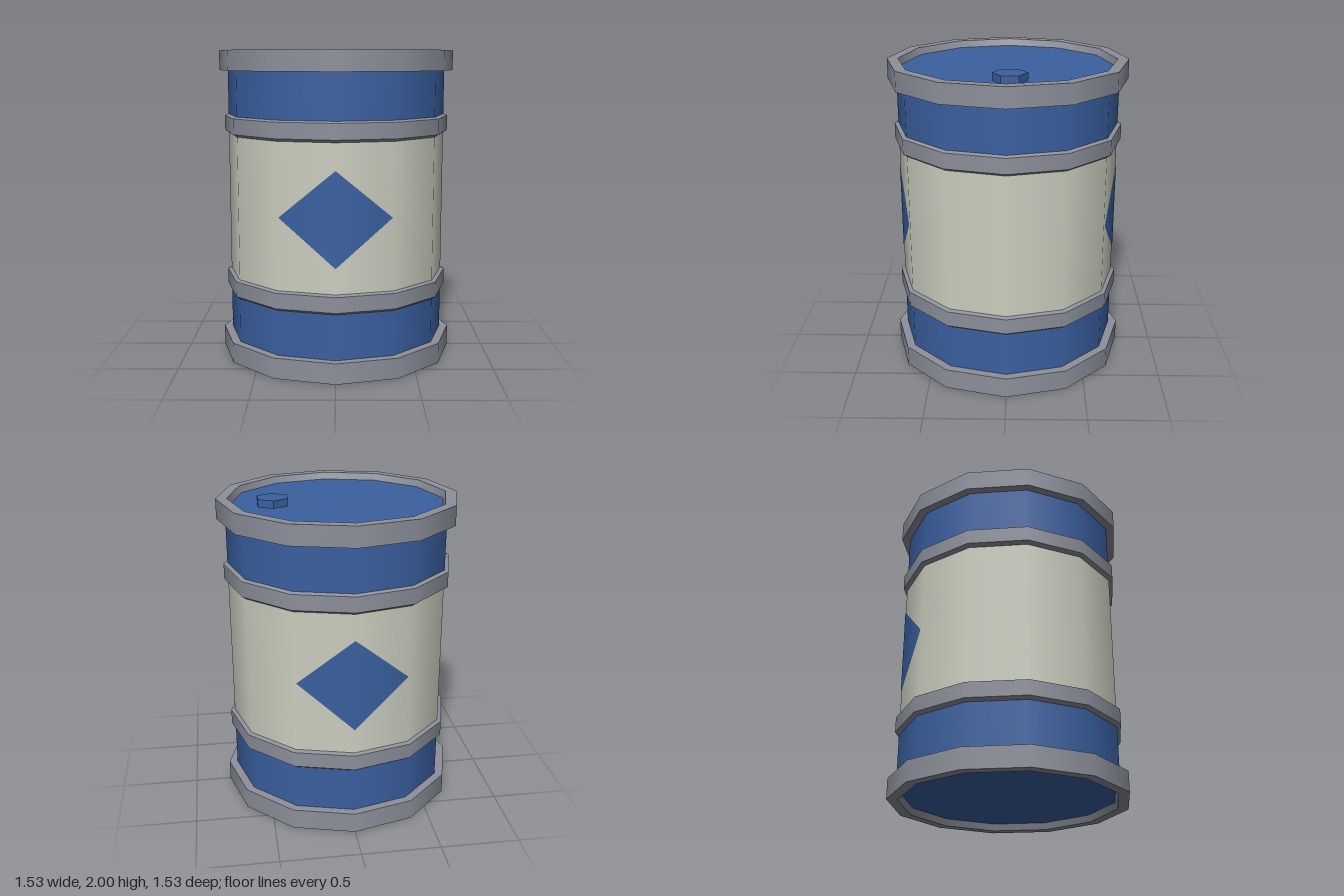
import * as THREE from 'three';
import { mergeGeometries } from 'three/addons/utils/BufferGeometryUtils.js';

const SIDES = 12;
const BODY_R = 0.71;

// Turned ring: smooth around the barrel, sharp between profile bands.
function turned(profile) {
  const bands = [];
  for (let i = 0; i < profile.length - 1; i++) {
    const pair = [profile[i], profile[i + 1]].map(([r, y]) => new THREE.Vector2(r, y));
    bands.push(new THREE.LatheGeometry(pair, SIDES));
  }
  return mergeGeometries(bands);
}

// Diamond folded over the front corner of the body.
function diamondGeometry() {
  const w = 0.345, h = 0.295, z = BODY_R + 0.004;
  const zSide = z - w * Math.tan(Math.PI / SIDES);
  const n = new THREE.Vector3(w, 0, zSide).normalize();
  const g = new THREE.BufferGeometry();
  g.setAttribute('position', new THREE.Float32BufferAttribute(
    [0, 1 + h, z, -w, 1, zSide, 0, 1 - h, z, w, 1, zSide], 3));
  g.setAttribute('normal', new THREE.Float32BufferAttribute(
    [0, 0, 1, -n.x, 0, n.z, 0, 0, 1, n.x, 0, n.z], 3));
  g.setIndex([0, 1, 2, 0, 2, 3]);
  return g;
}

export function createModel() {
  const group = new THREE.Group();
  const material = (name, color) => {
    const m = new THREE.MeshStandardMaterial({ color });
    m.name = name;
    return m;
  };
  const blue = material('blue paint', 0x3a60a0);
  const cream = material('cream paint', 0xcbcebf);
  const steel = material('grey steel', 0x8d909b);

  const add = (name, geometry, mat) => {
    const mesh = new THREE.Mesh(geometry, mat);
    mesh.name = name;
    group.add(mesh);
    return mesh;
  };

  // Painted body bands, meeting underneath the hoops
  add('lowerBody', turned([[BODY_R, 0.06], [BODY_R, 0.48]]), blue);
  add('middleBody', turned([[BODY_R, 0.48], [BODY_R, 1.52]]), cream);
  add('upperBody', turned([[BODY_R, 1.52], [BODY_R, 1.94]]), blue);

  // Bevelled hoops
  for (const [name, y] of [['lowerHoop', 0.42], ['upperHoop', 1.46]]) {
    add(name, turned([
      [BODY_R, y], [0.735, y + 0.017], [0.735, y + 0.115], [BODY_R, y + 0.125],
    ]), steel);
  }

  // End rims with a tapered inner lip
  add('topRim', turned([
    [BODY_R, 1.87], [0.765, 1.87], [0.765, 1.997], [0.695, 1.997], [0.678, 1.95],
  ]), steel);
  add('bottomRim', turned([
    [0.678, 0.047], [0.695, 0], [0.765, 0], [0.765, 0.132], [BODY_R, 0.132],
  ]), steel);

  // Recessed end plates
  const plate = new THREE.CircleGeometry(0.685, SIDES);
  const lid = add('lid', plate, blue);
  lid.position.y = 1.953;
  lid.rotation.x = -Math.PI / 2;
  const base = add('base', plate, blue);
  base.position.y = 0.044;
  base.rotation.x = Math.PI / 2;

  // Hexagonal bung on the lid
  const bung = add('bung', new THREE.CylinderGeometry(0.107, 0.107, 0.05, 6).toNonIndexed(), blue);
  bung.geometry.computeVertexNormals();
  bung.position.set(0.415, 1.975, -0.02);

  // Painted diamonds, front and back
  const diamond = diamondGeometry();
  add('frontDiamond', diamond, blue);
  add('backDiamond', diamond, blue).rotation.y = Math.PI;

  return group;
}
